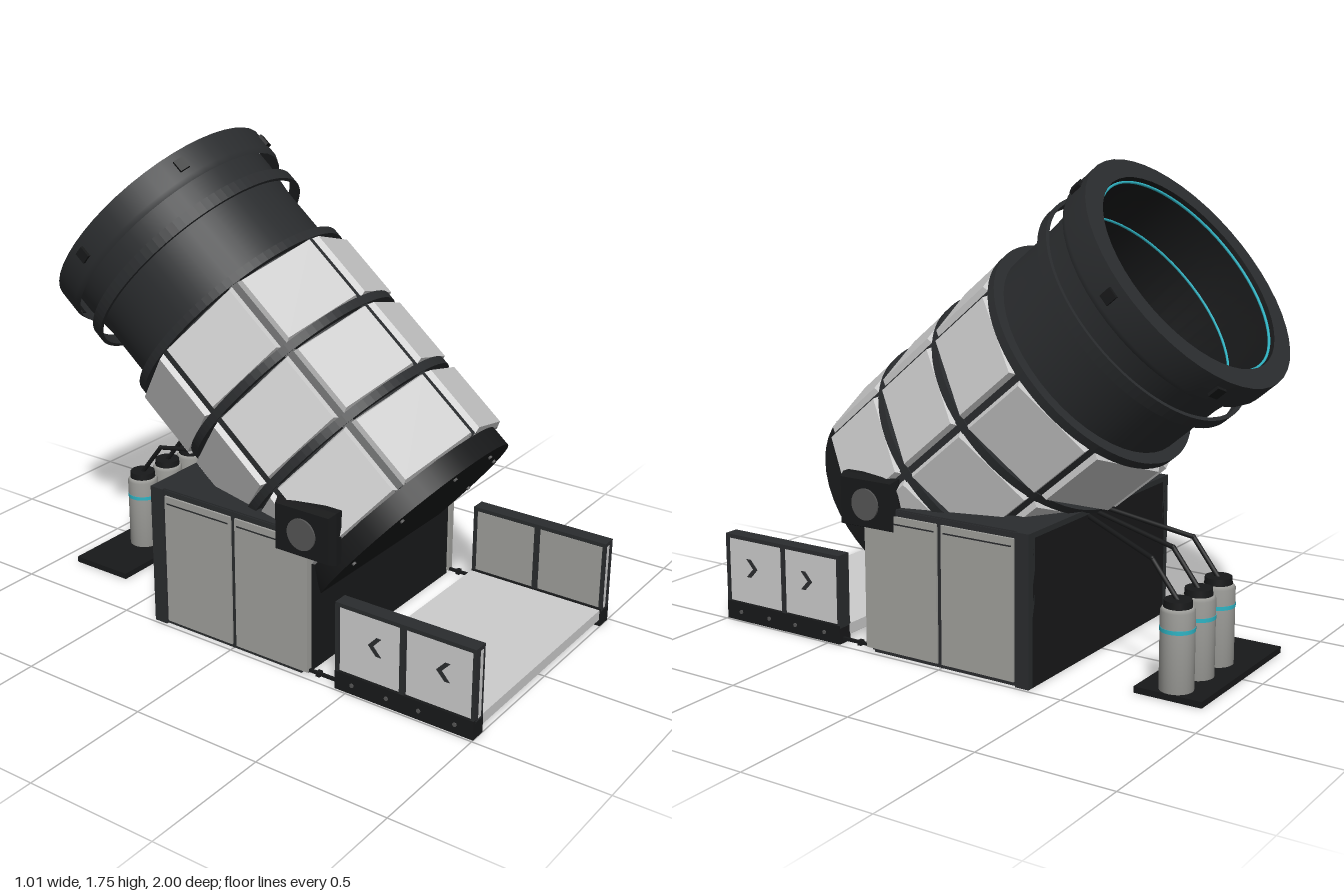
import * as THREE from 'three';

const mat = (color, side = THREE.FrontSide) => new THREE.MeshStandardMaterial({ color, side });
const PANEL = mat(0xcccccc), GREY = mat(0xa0a09c), DARK = mat(0x2a2c2e), BLACK = mat(0x18191a);
const DARK2 = mat(0x2a2c2e, THREE.DoubleSide), CYAN = mat(0x2fb4c4), MID = mat(0x555555);

function add(parent, name, geo, material, x = 0, y = 0, z = 0) {
  const m = new THREE.Mesh(geo, material);
  m.name = name;
  m.position.set(x, y, z);
  parent.add(m);
  return m;
}

// Box given by its limits on each axis
function span(parent, name, material, x0, x1, y0, y1, z0, z1) {
  const geo = new THREE.BoxGeometry(Math.abs(x1 - x0), y1 - y0, z1 - z0);
  return add(parent, name, geo, material, (x0 + x1) / 2, (y0 + y1) / 2, (z0 + z1) / 2);
}

const lathe = (pts, seg = 48) => new THREE.LatheGeometry(pts.map(p => new THREE.Vector2(...p)), seg);

// Ring with square section, centred on the barrel axis
const band = (ri, ro, y0, y1) => {
  const s = new THREE.Shape().absarc(0, 0, ro, 0, Math.PI * 2, false);
  s.holes.push(new THREE.Path().absarc(0, 0, ri, 0, Math.PI * 2, true));
  const g = new THREE.ExtrudeGeometry(s, { depth: y1 - y0, bevelEnabled: false, curveSegments: 48 });
  return g.rotateX(-Math.PI / 2).translate(0, y0, 0);
};

// Plate whose outer (+z) face is slightly smaller
function bevelPlate(w, h, d, inset) {
  const g = new THREE.BoxGeometry(w, h, d, 1, 1, 2), p = g.attributes.position;
  for (let i = 0; i < p.count; i++) if (p.getZ(i) > d / 4) {
    p.setX(i, p.getX(i) - Math.sign(p.getX(i)) * inset);
    p.setY(i, p.getY(i) - Math.sign(p.getY(i)) * inset);
  }
  const flat = g.toNonIndexed();
  flat.computeVertexNormals();
  return flat;
}

// Places a mesh around the barrel axis
function around(mesh, angle, r, y) {
  mesh.position.set(Math.sin(angle) * r, y, Math.cos(angle) * r);
  mesh.rotation.y = angle;
  return mesh;
}

function makeBarrel() {
  const g = new THREE.Group();
  g.name = 'barrel';
  add(g, 'basePlate', new THREE.CylinderGeometry(0.44, 0.44, 0.08, 48), BLACK, 0, -0.14, 0);
  add(g, 'core', lathe([[0, -0.1], [0.432, -0.1], [0.432, 0.8], [0.42, 0.8]]), DARK);
  add(g, 'upperTube', lathe([[0.418, 0.78], [0.418, 1.06], [0.43, 1.19], [0.43, 1.3]]), DARK);
  add(g, 'bore', lathe([[0.395, 1.31], [0.39, 1.28], [0.39, 0.02], [0, 0.02]]), BLACK);
  add(g, 'muzzleRim', lathe([[0.472, 1.31], [0.395, 1.31]]), DARK);
  add(g, 'muzzleCollar', lathe([[0.464, 1.19], [0.472, 1.21], [0.472, 1.31]]), DARK2);
  add(g, 'muzzleBand', band(0.452, 0.466, 1.065, 1.11), DARK);

  // Armour: three rows of eight flat panels, with ribs and rings between
  const panel = bevelPlate(0.328, 0.275, 0.044, 0.008);
  const rib = new THREE.BoxGeometry(0.045, 0.9, 0.04);
  for (let i = 0; i < 8; i++) {
    const a = i * Math.PI / 4;
    around(add(g, 'armourRib', rib, DARK), a, 0.437, 0.35);
    for (const y of [0.037, 0.35, 0.66])
      around(add(g, 'armourPanel', panel, PANEL), a + Math.PI / 8, 0.426, y);
  }
  for (const y of [0.18, 0.492, 0.8]) add(g, 'armourRing', band(0.41, 0.461, y, y + 0.033), DARK);

  // Collar clips
  for (let i = 0; i < 6; i++)
    around(add(g, 'collarClip', new THREE.BoxGeometry(0.04, 0.045, 0.014), BLACK), Math.PI / 6 + i * Math.PI / 3, 0.475, 1.256);

  // Base bolts
  for (let i = 0; i < 10; i++)
    around(add(g, 'baseBolt', new THREE.CylinderGeometry(0.008, 0.008, 0.01, 8), MID), (i + 0.5) * Math.PI / 5, 0.38, -0.183);

  // Glowing rings inside the bore
  for (const y of [0.47, 0.78, 1.095, 1.29])
    add(g, 'boreRing', new THREE.TorusGeometry(0.389, 0.005, 6, 64).rotateX(Math.PI / 2), CYAN, 0, y, 0);

  g.position.set(0, 0.56, 0.31);
  g.rotation.x = -50 * Math.PI / 180;
  return g;
}

function makeBlock() {
  const g = new THREE.Group();
  g.name = 'baseBlock';
  span(g, 'blockBody', BLACK, -0.462, 0.462, 0.01, 0.54, -0.365, 0.32);
  span(g, 'blockTop', DARK, -0.475, 0.475, 0.535, 0.555, -0.365, 0.25);
  for (const s of [-1, 1]) {
    span(g, 'sideFrame', DARK, s * 0.45, s * 0.478, 0.01, 0.55, -0.365, 0.3);
    span(g, 'rearPost', DARK, s * 0.45, s * 0.488, 0.01, 0.555, -0.365, -0.31);
    for (const [z0, z1] of [[0.016, 0.33], [-0.303, -0.003]]) {
      span(g, 'sidePanel', GREY, s * 0.46, s * 0.486, 0.025, 0.53, z0, z1);
      span(g, 'panelSeam', DARK, s * 0.48, s * 0.4875, 0.5, 0.505, z0 + 0.01, z1 - 0.01);
    }
    // Pivot mount
    const plate = bevelPlate(0.245, 0.195, 0.06, 0.012).rotateY(s * Math.PI / 2);
    add(g, 'pivotMount', plate, BLACK, s * 0.467, 0.562, 0.315);
    add(g, 'pivotCap', new THREE.CylinderGeometry(0.058, 0.058, 0.02, 24).rotateZ(Math.PI / 2), MID, s * 0.494, 0.56, 0.315);
  }
  return g;
}

function makePlatform() {
  const g = new THREE.Group();
  g.name = 'loadingPlatform';
  span(g, 'deck', PANEL, -0.435, 0.435, 0.035, 0.075, 0.45, 0.995);
  const arrow = new THREE.Shape();
  [[-0.025, 0.035], [-0.005, 0.035], [0.027, 0], [-0.005, -0.035], [-0.025, -0.035], [0.007, 0]]
    .forEach(([x, y], i) => i ? arrow.lineTo(x, y) : arrow.moveTo(x, y));
  for (const s of [-1, 1]) {
    const rail = new THREE.Group();
    rail.name = 'sideRail';
    g.add(rail);
    span(rail, 'railFoot', BLACK, s * 0.43, s * 0.492, 0.01, 0.08, 0.45, 1);
    span(rail, 'railCore', DARK, s * 0.437, s * 0.478, 0.07, 0.335, 0.46, 0.99);
    span(rail, 'railTop', DARK, s * 0.433, s * 0.49, 0.33, 0.345, 0.45, 1);
    for (const z of [0.456, 0.722, 0.994])
      span(rail, 'railPost', DARK, s * 0.433, s * 0.49, 0.07, 0.34, z - 0.006 - (z === 0.722 ? 0.006 : 0), z + 0.006);
    span(rail, 'railEndStrip', PANEL, s * 0.446, s * 0.463, 0.08, 0.33, 0.99, 1.001);
    for (const z of [0.592, 0.86]) {
      span(rail, 'railPanel', PANEL, s * 0.47, s * 0.484, 0.083, 0.328, z - 0.126, z + 0.126);
      span(rail, 'innerRailPanel', GREY, s * 0.435, s * 0.45, 0.083, 0.328, z - 0.126, z + 0.126);
      const geo = new THREE.ExtrudeGeometry(arrow, { depth: 0.006, bevelEnabled: false });
      geo.rotateY(Math.PI / 2).translate(s * 0.484 - 0.003, 0, 0);
      add(rail, 'arrowPlate', geo, DARK, 0, 0.222, z + 0.017);
      for (const o of [-0.07, 0.07])
        add(rail, 'footBolt', new THREE.CylinderGeometry(0.008, 0.008, 0.008, 8).rotateZ(Math.PI / 2), MID, s * 0.492, 0.045, z + o);
    }
    span(g, 'connectingRod', BLACK, s * 0.465, s * 0.475, 0.023, 0.034, 0.3, 0.46);
    span(g, 'rodClip', BLACK, s * 0.46, s * 0.48, 0.019, 0.038, 0.362, 0.378);
  }
  return g;
}

function makeTanks() {
  const g = new THREE.Group();
  g.name = 'gasTanks';
  span(g, 'tankPlate', BLACK, -0.315, 0.31, 0.01, 0.033, -0.925, -0.67);
  for (const x of [-0.05, 0.1, 0.25]) {
    add(g, 'tank', lathe([[0, 0.03], [0.06, 0.03], [0.06, 0.31], [0.052, 0.322], [0, 0.322]], 24), GREY, x, 0, -0.8);
    add(g, 'tankCap', new THREE.CylinderGeometry(0.048, 0.05, 0.026, 20), BLACK, x, 0.333, -0.8);
    add(g, 'tankStripe', new THREE.CylinderGeometry(0.0615, 0.0615, 0.014, 24), CYAN, x, 0.247, -0.8);
    // Hose with one sharp bend
    const end = 0.03 + (x - 0.1) * 0.4;
    const pts = [[x, 0.34, -0.8], [x, 0.47, -0.7], [end, 0.53, -0.35]].map(p => new THREE.Vector3(...p));
    for (let i = 0; i < 2; i++)
      add(g, 'hose', new THREE.TubeGeometry(new THREE.LineCurve3(pts[i], pts[i + 1]), 1, 0.009, 8), BLACK);
    add(g, 'hoseJoint', new THREE.SphereGeometry(0.0095, 10, 8), BLACK, ...pts[1].toArray());
  }
  return g;
}

export function createModel() {
  const model = new THREE.Group();
  model.name = 'mortarCannon';
  model.add(makeBarrel(), makeBlock(), makePlatform(), makeTanks());
  model.position.y = -0.01;
  return model;
}
